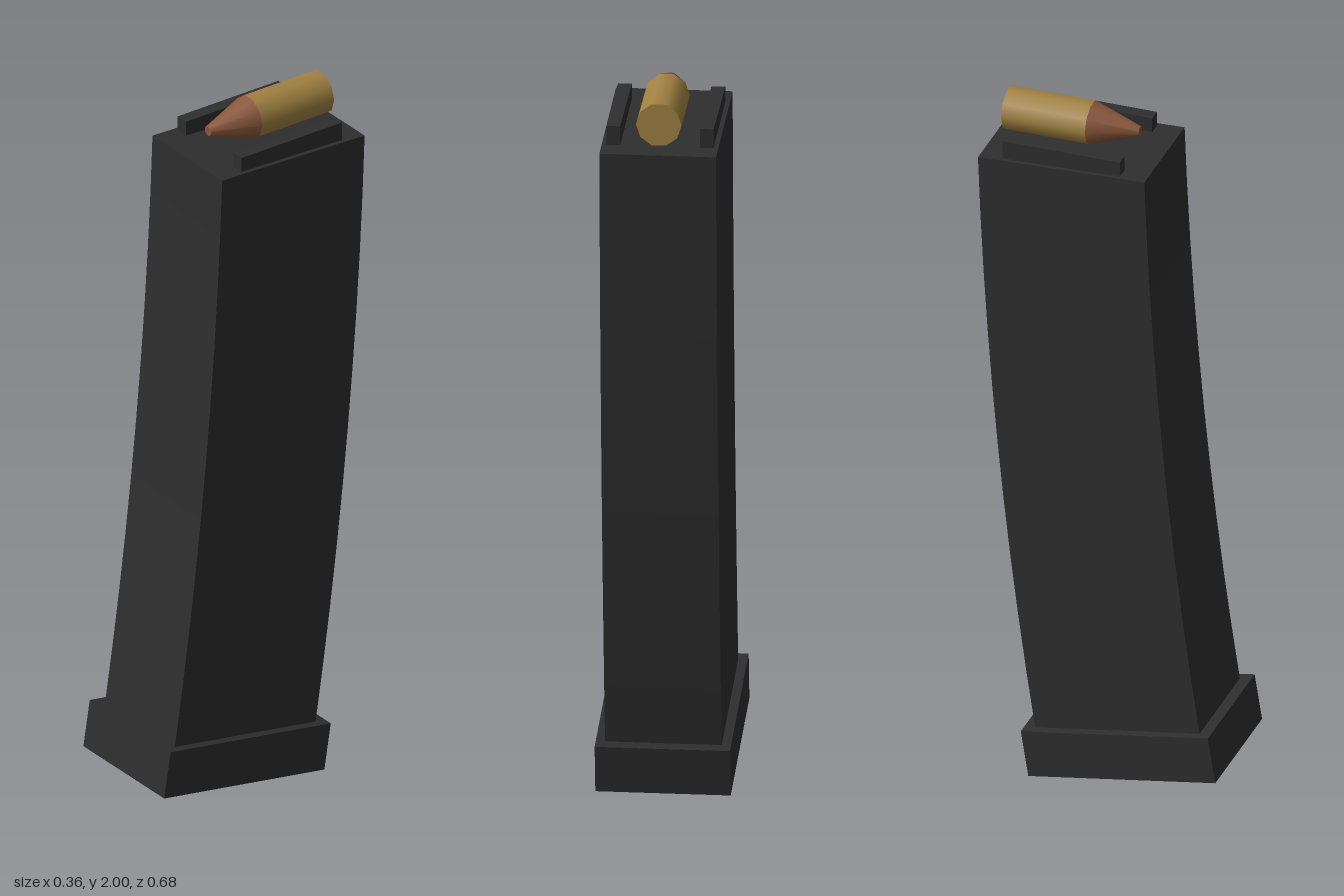
import * as THREE from 'three';

export function createModel() {
  const group = new THREE.Group();
  const darkSteel = new THREE.MeshStandardMaterial({ name: 'dark steel', color: 0x2e2e2e });
  const brass = new THREE.MeshStandardMaterial({ name: 'brass', color: 0xa28242 });
  const copper = new THREE.MeshStandardMaterial({ name: 'copper', color: 0x8a573c });

  const add = (name, geometry, material, x, y, z) => {
    const mesh = new THREE.Mesh(geometry, material);
    mesh.name = name;
    mesh.position.set(x, y, z);
    group.add(mesh);
    return mesh;
  };

  // Curved body: side profile swept along a gentle arc, then extruded across x
  const steps = 10, length = 1.711, halfDepth = 0.236, width = 0.312;
  const lowAngle = 0.154, highAngle = 0.034;
  const front = [], back = [];
  let z = 0.058, y = 0.172;
  for (let i = 0; i <= steps; i++) {
    const a = THREE.MathUtils.lerp(lowAngle, highAngle, i / steps);
    const dz = Math.cos(a) * halfDepth, dy = Math.sin(a) * halfDepth;
    front.push(new THREE.Vector2(z + dz, y + dy));
    back.push(new THREE.Vector2(z - dz, y - dy));
    const mid = a + (highAngle - lowAngle) / steps / 2;
    z -= Math.sin(mid) * length / steps;
    y += Math.cos(mid) * length / steps;
  }
  const profile = new THREE.Shape([...front, ...back.reverse()]);
  const bodyGeometry = new THREE.ExtrudeGeometry(profile, { depth: width, bevelEnabled: false });
  bodyGeometry.translate(0, 0, -width / 2).rotateY(-Math.PI / 2);
  add('body', bodyGeometry, darkSteel, 0, 0, 0);

  // Tilted base plate
  const base = add('basePlate', new THREE.BoxGeometry(0.362, 0.135, 0.537), darkSteel, 0, 0.112, 0.068);
  base.rotation.x = -0.157;

  // Feed lips on both sides of the top
  for (const side of [-1, 1]) {
    add(side > 0 ? 'leftFeedLip' : 'rightFeedLip',
      new THREE.BoxGeometry(0.037, 0.06, 0.333), darkSteel, side * 0.125, 1.892, -0.107);
  }

  // Cartridge lying along z: case and tapered tip, ten-sided with a flat on top
  const barrel = (rFront, rBack, len) =>
    new THREE.CylinderGeometry(rFront, rBack, len, 10).rotateY(Math.PI / 2).rotateX(Math.PI / 2);
  add('cartridgeCase', barrel(0.061, 0.061, 0.238), brass, 0, 1.942, -0.189);
  add('cartridgeTip', barrel(0.014, 0.061, 0.135), copper, 0, 1.942, -0.0025);

  return group;
}
